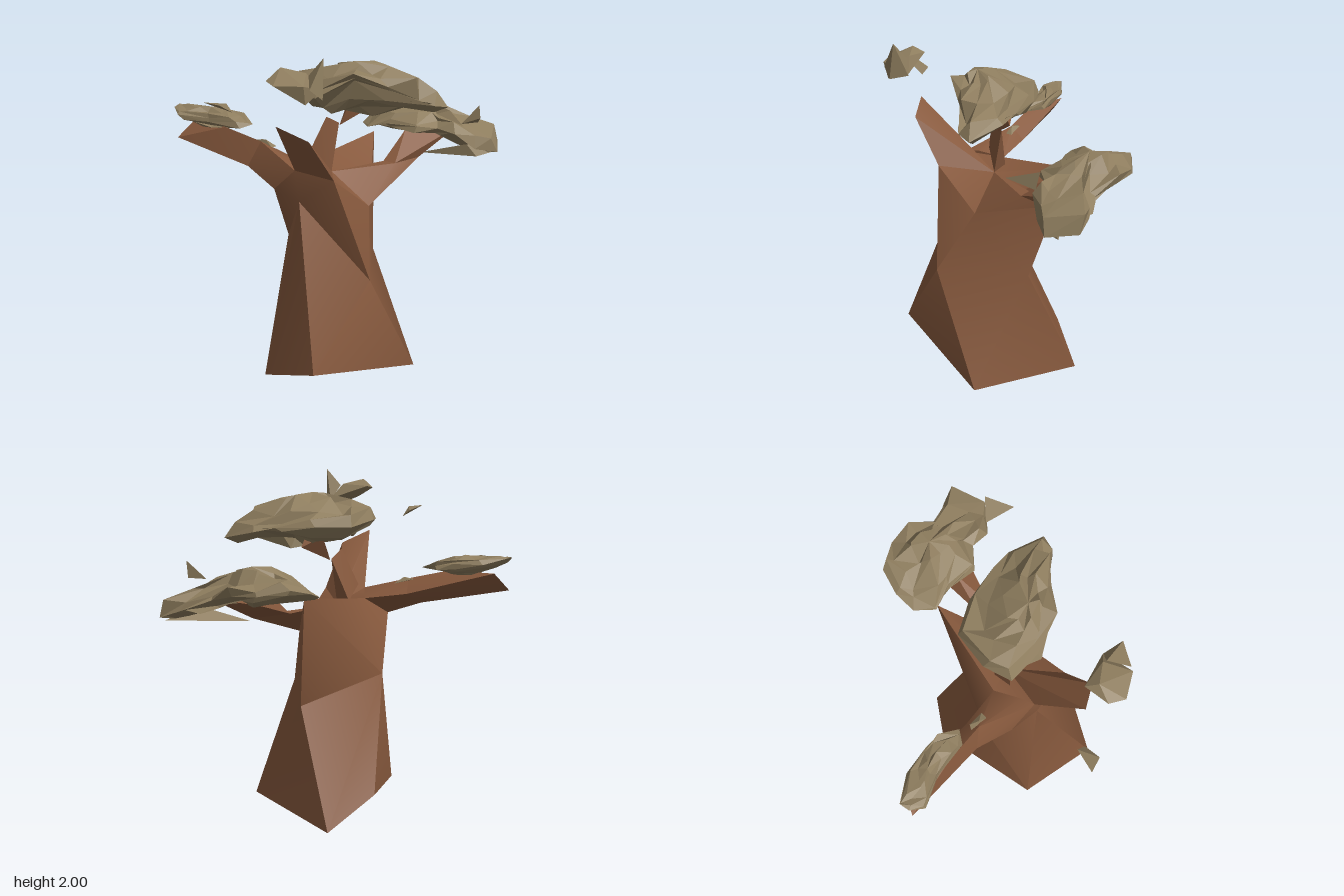
import * as THREE from 'three';
import { toCreasedNormals } from 'three/addons/utils/BufferGeometryUtils.js';
import { ConvexGeometry } from 'three/addons/geometries/ConvexGeometry.js';

const bark = new THREE.MeshStandardMaterial({ color: 0x87593d });
bark.name = 'bark brown';
const leaf = new THREE.MeshStandardMaterial({ color: 0x8e7d5e, flatShading: true });
leaf.name = 'dry leaf';

// Small seeded random in -1..1
function seeded(seed) {
  return () => {
    seed = (seed * 16807) % 2147483647;
    return (seed / 2147483647) * 2 - 1;
  };
}

// Angular solid spanned by a handful of corner points, gently shaded across shallow edges
function hull(name, points, material) {
  const g = new ConvexGeometry(points.map(p => new THREE.Vector3(...p)));
  const mesh = new THREE.Mesh(toCreasedNormals(g, 0.6), material);
  mesh.name = name;
  return mesh;
}

// Lumpy faceted leaf mass: a rim closed by rings shrinking to a top and a bottom point
function canopy(name, rim, top, bottom, rough, seed) {
  const rnd = seeded(seed);
  const steps = [[0, top], [0.35, top], [0.68, top], [0.9, top], [1, top],
    [0.9, bottom], [0.64, bottom], [0.32, bottom], [0, bottom]];
  const rings = steps.map(([s, c]) => rim.map(([x, y, z]) => {
    const r = s > 0 && s < 1 ? rough : 0;
    const lift = Math.pow(1 - s, 0.6);
    return [
      c[0] + (x - c[0]) * s + rnd() * r,
      y + (c[1] - y) * lift + rnd() * r,
      c[2] + (z - c[2]) * s + rnd() * r,
    ];
  }));
  const pos = [];
  const n = rim.length;
  for (let k = 0; k < rings.length - 1; k++) {
    const u = rings[k], l = rings[k + 1];
    for (let i = 0; i < n; i++) {
      const j = (i + 1) % n;
      if (k < rings.length - 2) pos.push(...l[i], ...u[i], ...l[j]);
      if (k > 0) pos.push(...l[j], ...u[i], ...u[j]);
    }
  }
  const g = new THREE.BufferGeometry();
  g.setAttribute('position', new THREE.Float32BufferAttribute(pos, 3));
  g.computeVertexNormals();
  const mesh = new THREE.Mesh(g, leaf);
  mesh.name = name;
  return mesh;
}

// Trunk corners: splayed foot, waist, then the shoulders where the branches leave
const footRight = [-0.53, 0.03, 0.2], footFront = [-0.28, 0.21, 0.59], footLeft = [0.38, 0.03, 0.2];
const footBack = [0.11, 0, -0.45], footBackRight = [-0.2, 0.17, -0.38];
const waistFront = [0.07, 0.69, 0.4], waistLeft = [0.18, 0.68, -0.14], waistRight = [-0.35, 0.82, -0.08];
const chest = [-0.31, 1.12, 0.22], frontShoulder = [-0.13, 1.28, 0.37], leftShoulder = [0.1, 1.06, 0.17];
const fork = [-0.1, 1.24, 0.04], backTip = [0.22, 1.37, -0.37], rightShoulder = [-0.44, 1.16, 0.08];
const sideShoulder = [-0.33, 1.3, 0.2], backShoulder = [-0.25, 1.28, -0.03];

function trunk() {
  const faces = [
    // front
    [footFront, footLeft, waistFront], [footFront, waistFront, chest], [waistFront, frontShoulder, chest],
    // left
    [footLeft, waistLeft, waistFront], [footLeft, footBack, waistLeft], [waistFront, waistLeft, leftShoulder],
    [waistFront, leftShoulder, frontShoulder], [leftShoulder, fork, frontShoulder],
    [waistLeft, backTip, leftShoulder], [leftShoulder, backTip, fork],
    // back
    [footBack, footBackRight, waistRight], [footBack, waistRight, waistLeft], [waistLeft, waistRight, backTip],
    [backTip, waistRight, backShoulder], [backTip, backShoulder, fork],
    // right
    [footBackRight, footRight, waistRight], [footRight, footFront, chest], [footRight, chest, waistRight],
    [waistRight, chest, rightShoulder], [waistRight, rightShoulder, backShoulder],
    [chest, frontShoulder, sideShoulder], [chest, sideShoulder, rightShoulder],
    // top
    [rightShoulder, sideShoulder, backShoulder], [sideShoulder, fork, backShoulder],
    [sideShoulder, frontShoulder, fork],
    // underside
    [footRight, footLeft, footFront], [footRight, footBack, footLeft], [footRight, footBackRight, footBack],
  ];
  const g = new THREE.BufferGeometry();
  g.setAttribute('position', new THREE.Float32BufferAttribute(faces.flat(2), 3));
  const mesh = new THREE.Mesh(toCreasedNormals(g, 0.75), bark);
  mesh.name = 'trunk';
  return mesh;
}

export function createModel() {
  const tree = new THREE.Group();
  tree.name = 'tree';
  tree.add(trunk());

  // Branches: the two side ones bend at an elbow
  const rightElbow = [[-0.58, 1.25, -0.11], [-0.5, 1.4, -0.1], [-0.46, 1.32, -0.17]];
  const leftElbow = [[0.47, 1.24, -0.2], [0.3, 1.24, -0.08], [0.24, 1.24, -0.14]];
  tree.add(
    hull('frontBranch', [frontShoulder, fork, sideShoulder, [-0.21, 1.35, 0.16],
      [-0.45, 1.62, 0.46], [-0.28, 1.54, 0.5]], bark),
    hull('rightBranchInner', [rightShoulder, sideShoulder, [-0.3, 1.31, 0.12], backShoulder, ...rightElbow], bark),
    hull('rightBranchOuter', [...rightElbow, [-0.99, 1.36, -0.43], [-0.87, 1.47, -0.47], [-0.7, 1.46, -0.24]], bark),
    hull('leftBranchInner', [leftShoulder, fork, ...leftElbow], bark),
    hull('leftBranchOuter', [...leftElbow, [0.73, 1.39, -0.32], [0.4, 1.4, -0.27], [0.5, 1.37, -0.48]], bark),
    hull('middleBranch', [fork, [-0.24, 1.35, 0.06], [-0.13, 1.57, 0.05], [-0.05, 1.52, 0], [-0.15, 1.27, -0.03]], bark),
    hull('upperBranch', [[-0.05, 1.51, 0.02], [0, 1.63, 0.04], [0.14, 1.6, -0.03], [0.1, 1.68, 0], [0.02, 1.66, -0.06]], bark),
  );

  // Leaf masses
  tree.add(
    canopy('middleCanopy', [
      [-0.35, 1.74, 0.07], [-0.28, 1.75, -0.08], [-0.1, 1.73, -0.22], [0.1, 1.73, -0.17],
      [0.3, 1.72, -0.05], [0.41, 1.69, 0.03], [0.54, 1.64, 0.22], [0.45, 1.66, 0.27],
      [0.2, 1.75, 0.25], [0, 1.83, 0.27], [-0.2, 1.75, 0.2],
    ], [0.02, 1.9, 0.14], [-0.03, 1.61, 0.07], 0.036, 11),
    canopy('leftCanopy', [
      [0.17, 1.4, -0.5], [0.25, 1.44, -0.6], [0.38, 1.48, -0.68], [0.55, 1.45, -0.65],
      [0.66, 1.44, -0.55], [0.74, 1.4, -0.42], [0.9, 1.34, -0.36], [1, 1.3, -0.3],
      [0.95, 1.27, -0.13], [0.8, 1.3, -0.11], [0.67, 1.4, -0.1], [0.58, 1.42, -0.18],
      [0.45, 1.44, -0.17], [0.28, 1.43, -0.32], [0.18, 1.4, -0.37],
    ], [0.52, 1.57, -0.42], [0.56, 1.37, -0.38], 0.034, 23),
    canopy('rightCanopy', [
      [-1, 1.55, -0.43], [-0.97, 1.56, -0.48], [-0.8, 1.52, -0.46], [-0.66, 1.52, -0.37],
      [-0.58, 1.5, -0.3], [-0.54, 1.48, -0.2], [-0.62, 1.46, -0.18], [-0.8, 1.48, -0.3], [-0.98, 1.52, -0.35],
    ], [-0.78, 1.56, -0.35], [-0.74, 1.44, -0.32], 0.016, 37),
    hull('frontCanopy', [
      [-0.5, 1.88, 0.55], [-0.42, 1.94, 0.5], [-0.42, 1.9, 0.43], [-0.29, 1.91, 0.52], [-0.21, 1.82, 0.53],
      [-0.31, 1.77, 0.65], [-0.32, 1.87, 0.675], [-0.47, 1.87, 0.64], [-0.4, 1.83, 0.53],
    ], leaf),
    hull('frontCanopySpike', [
      [-0.21, 2, 0.61], [-0.28, 1.9, 0.54], [-0.21, 1.81, 0.53], [-0.22, 1.79, 0.64], [-0.29, 1.85, 0.67],
    ], leaf),
  );

  // Loose leaf tufts
  tree.add(
    hull('looseTuft', [[-0.82, 1.765, 0.48], [-0.7, 1.74, 0.41], [-0.67, 1.7, 0.45], [-0.74, 1.755, 0.52]], leaf),
    hull('spikeTuft', [[0.71, 1.46, -0.11], [0.82, 1.57, -0.12], [0.81, 1.47, -0.1], [0.78, 1.53, 0.05]], leaf),
    hull('lowTuft', [[0.5, 1.245, -0.29], [0.82, 1.245, -0.14], [0.76, 1.32, -0.16], [0.96, 1.26, -0.2]], leaf),
    hull('branchTuft', [[-0.52, 1.4, -0.14], [-0.41, 1.37, -0.09], [-0.44, 1.37, -0.06], [-0.49, 1.4, -0.15],
      [-0.47, 1.41, -0.1]], leaf),
  );
  return tree;
}
